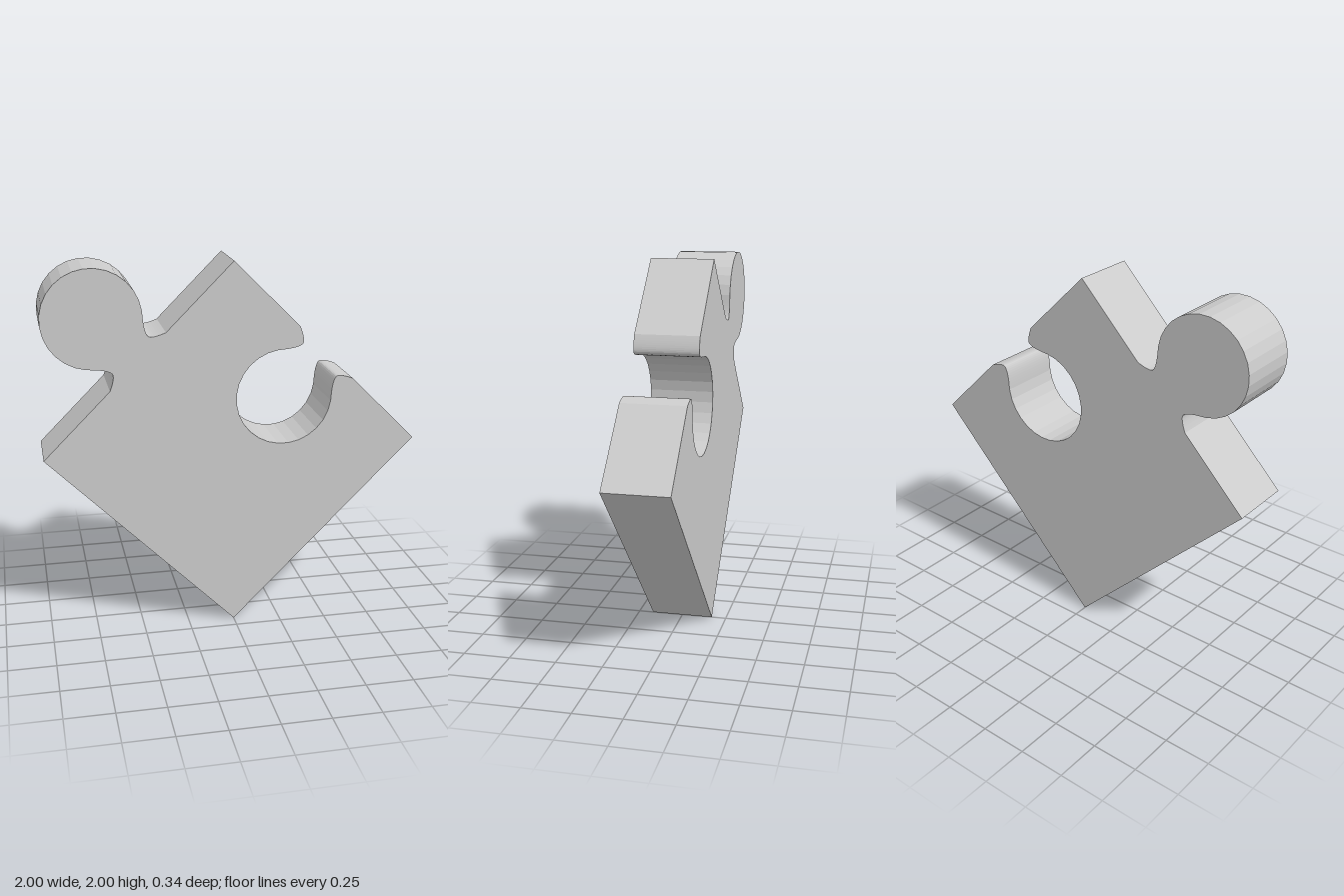
import * as THREE from 'three';

const DEPTH = 0.34;

// Half-symmetric tab profile: u runs along the edge, v away from it
function tabProfile() {
  const r = 0.258, cv = 0.323, a = 0.651;
  const nu = r * Math.cos(a), nv = cv - r * Math.sin(a);
  const p = new THREE.Path();
  p.moveTo(-0.208, 0);
  p.bezierCurveTo(-0.183, 0.011, -0.134, 0.034, -0.132, 0.055);
  p.bezierCurveTo(-0.134, 0.085, -0.17, 0.127, -nu, nv);
  p.absarc(0, cv, r, Math.PI + a, -a, true);
  p.bezierCurveTo(0.17, 0.127, 0.134, 0.085, 0.132, 0.055);
  p.bezierCurveTo(0.134, 0.034, 0.183, 0.011, 0.208, 0);
  return p.getPoints(10);
}

// Place the profile on an edge given its midpoint, direction and tab direction
function placeTab(profile, mid, along, out) {
  return profile.map(({ x: u, y: v }) => new THREE.Vector2(
    mid[0] + (along[0] * u + out[0] * v) * Math.SQRT1_2,
    mid[1] + (along[1] * u + out[1] * v) * Math.SQRT1_2
  ));
}

export function createModel() {
  const group = new THREE.Group();
  group.name = 'jigsawPiece';
  const tab = tabProfile();

  // Diamond outline, counter-clockwise: socket on the upper right, knob on the upper left
  const outline = [
    new THREE.Vector2(0, 0),
    new THREE.Vector2(1, 1),
    ...placeTab(tab, [0.5, 1.5], [-1, 1], [-1, -1]),
    new THREE.Vector2(0, 2),
    ...placeTab(tab, [-0.5, 1.5], [-1, -1], [-1, 1]),
    new THREE.Vector2(-1, 1),
  ];

  const geometry = new THREE.ExtrudeGeometry(new THREE.Shape(outline), {
    depth: DEPTH, bevelEnabled: false,
  });
  geometry.translate(0, 0, -DEPTH / 2);

  const piece = new THREE.Mesh(
    geometry,
    new THREE.MeshStandardMaterial({ color: 0xcccccc, flatShading: true })
  );
  piece.name = 'puzzlePieceBody';
  group.add(piece);
  return group;
}
